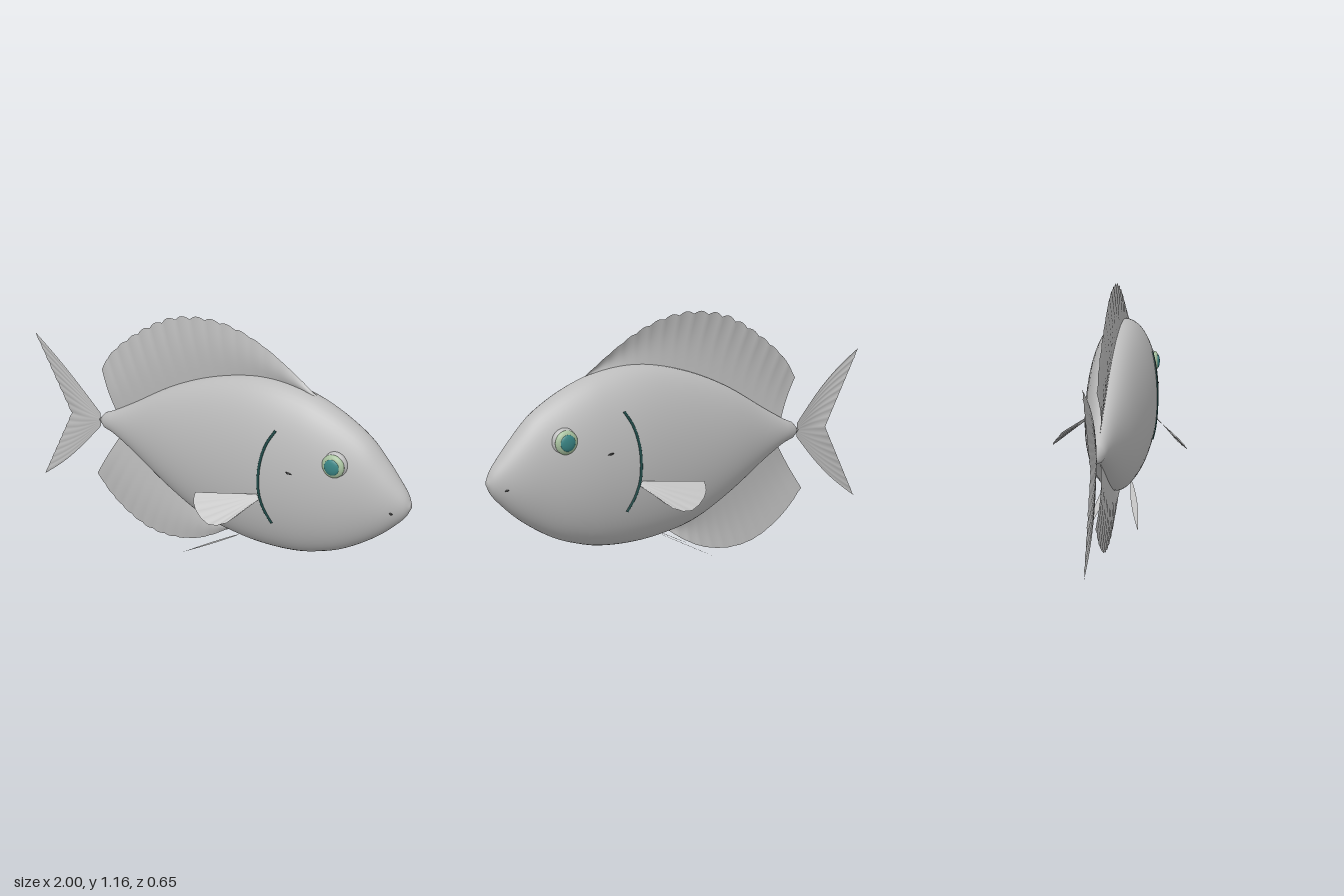
import * as THREE from 'three';
import { mergeVertices } from 'three/addons/utils/BufferGeometryUtils.js';

const material = (name, color, side = THREE.FrontSide) =>
  Object.assign(new THREE.MeshStandardMaterial({ color, side }), { name });

// Body stations: x, top y, bottom y, half width
const STATIONS = [
  [-0.63, 0.565, 0.505, 0.022], [-0.55, 0.595, 0.49, 0.036], [-0.42, 0.665, 0.42, 0.062],
  [-0.2, 0.795, 0.28, 0.11], [0, 0.88, 0.18, 0.14], [0.2, 0.93, 0.138, 0.16],
  [0.35, 0.938, 0.13, 0.167], [0.5, 0.915, 0.143, 0.162], [0.6, 0.88, 0.17, 0.152],
  [0.7, 0.83, 0.21, 0.134], [0.8, 0.762, 0.272, 0.11], [0.88, 0.677, 0.335, 0.085],
  [0.94, 0.605, 0.395, 0.06], [0.98, 0.552, 0.443, 0.036], [1, 0.51, 0.485, 0.012],
];

// Smooth (Hermite) lookup of the body outline at x: [top, bottom, halfWidth]
function outline(x) {
  const S = STATIONS, last = S.length - 1;
  let i = 0;
  while (i < last - 1 && x > S[i + 1][0]) i++;
  const h = S[i + 1][0] - S[i][0], t = (x - S[i][0]) / h;
  const slope = (k, c) => {
    const a = S[Math.max(k - 1, 0)], b = S[Math.min(k + 1, last)];
    return (b[c] - a[c]) / (b[0] - a[0]);
  };
  return [1, 2, 3].map((c) =>
    (2 * t ** 3 - 3 * t * t + 1) * S[i][c] + (t ** 3 - 2 * t * t + t) * h * slope(i, c) +
    (3 * t * t - 2 * t ** 3) * S[i + 1][c] + (t ** 3 - t * t) * h * slope(i + 1, c));
}

// Half width of the body at a given x and y
function surfaceZ(x, y) {
  const [top, bottom, width] = outline(x);
  const k = (y - (top + bottom) / 2) / ((top - bottom) / 2);
  return width * Math.sqrt(Math.max(0, 1 - k * k));
}

// Surface from a rule point(u, v) => [x, y, z]
function grid(point, nu, nv) {
  const positions = [], index = [];
  for (let i = 0; i <= nu; i++)
    for (let j = 0; j <= nv; j++) positions.push(...point(i / nu, j / nv));
  for (let i = 0; i < nu; i++)
    for (let j = 0; j < nv; j++) {
      const a = i * (nv + 1) + j, b = a + nv + 1;
      index.push(a, a + 1, b, a + 1, b + 1, b);
    }
  let geometry = new THREE.BufferGeometry();
  geometry.setAttribute('position', new THREE.Float32BufferAttribute(positions, 3));
  geometry.setIndex(index);
  geometry = mergeVertices(geometry, 1e-5);
  geometry.computeVertexNormals();
  return geometry;
}

const spline = (points) => new THREE.CatmullRomCurve3(points.map((p) => new THREE.Vector3(p[0], p[1], p[2] || 0)));

// Upright fin between a base rule and a tip rule, with rays and a scalloped edge
function medianFin(base, tip, rays, scallop, bulge = 0) {
  return grid((u, v) => {
    const b = base(u), t = tip(u);
    const ray = Math.abs(Math.sin(u * rays * Math.PI));
    const s = v * (1 - scallop * (1 - ray) * Math.sin(Math.PI * u));
    return [
      b.x + (t.x - b.x) * s,
      b.y + (t.y - b.y) * s + bulge * (1 - 2 * u) * Math.sin(Math.PI * v),
      0.01 * Math.sin(Math.PI * v) + 0.003 * (ray - 0.5) * v,
    ];
  }, rays * 6, 10);
}

export function createModel() {
  const fish = new THREE.Group();
  fish.name = 'fish';
  const skin = material('skinGrey', 0xbcbcbc);
  const finGrey = material('finGrey', 0xbcbcbc, THREE.DoubleSide);
  const iris = material('irisGreen', 0xa9c2a0);
  const teal = material('pupilTeal', 0x3a8585);
  const gill = material('gillTeal', 0x1f4a48);
  const dark = material('nostrilDark', 0x333333);
  const add = (name, geometry, mat) => {
    const mesh = new THREE.Mesh(geometry, mat);
    mesh.name = name;
    fish.add(mesh);
    return mesh;
  };

  // Body: elliptical sections, closed at both ends
  add('body', grid((u, v) => {
    const x = -0.63 + 1.63 * (1 - (1 - u) ** 2);
    const [top, bottom, width] = outline(x);
    const k = u === 0 || u === 1 ? 0 : 1, a = v * Math.PI * 2;
    return [x, (top + bottom) / 2 + k * Math.cos(a) * (top - bottom) / 2, k * width * Math.sin(a)];
  }, 72, 56), skin);

  // Dorsal fin
  const dorsalTip = spline([[0.54, 0.905], [0.4, 1.005], [0.3, 1.068], [0.2, 1.115], [0.1, 1.145], [0, 1.157],
    [-0.1, 1.15], [-0.2, 1.128], [-0.3, 1.08], [-0.4, 1.015], [-0.5, 0.935], [-0.56, 0.87], [-0.6, 0.8]]);
  add('dorsalFin', medianFin((u) => {
    const x = 0.53 - 1.05 * u;
    return { x, y: outline(x)[0] - 0.012 };
  }, (u) => dorsalTip.getPointAt(u), 17, 0.05), finGrey);

  // Anal fin
  const analTip = spline([[0.12, 0.145], [0.05, 0.095], [-0.05, 0.04], [-0.15, 0.01], [-0.25, 0], [-0.36, 0.015],
    [-0.47, 0.065], [-0.57, 0.14], [-0.655, 0.235]]);
  add('analFin', medianFin((u) => {
    const x = 0.11 - 0.61 * u;
    return { x, y: outline(x)[1] + 0.012 };
  }, (u) => analTip.getPointAt(u), 13, 0.015), finGrey);

  // Forked tail fin
  add('tailFin', medianFin(
    (u) => ({ x: -0.62, y: 0.57 - 0.07 * u }),
    (u) => ({ x: -0.8 - 0.2 * Math.abs(1 - 2 * u), y: 0.53 + 0.385 * (1 - 2 * u) }),
    16, 0.01, 0.025), finGrey);

  for (const side of [1, -1]) {
    const label = side > 0 ? 'left' : 'right';

    // Pectoral fin: fan from a short root to a rounded edge
    const edge = spline([[0.09, 0.437, 0.258], [0.1, 0.4, 0.288], [0.15, 0.358, 0.318], [0.21, 0.335, 0.325],
      [0.27, 0.348, 0.298], [0.32, 0.392, 0.235]]);
    add(label + 'PectoralFin', grid((u, v) => {
      const t = edge.getPointAt(u);
      const root = [0.36 + 0.01 * u, 0.455 - 0.015 * u, 0.158];
      const ripple = 0.003 * Math.abs(Math.sin(u * 8 * Math.PI)) * v;
      return [root[0] + (t.x - root[0]) * v, root[1] + (t.y - root[1]) * v + ripple,
        side * (root[2] + (t.z - root[2]) * v)];
    }, 40, 6), finGrey);

    // Pelvic fin: narrow pointed blade
    add(label + 'PelvicFin', grid((u, v) => {
      const width = 0.03 * Math.sin(Math.PI * Math.min(1, 0.12 + 0.88 * u));
      return [0.2 - 0.27 * u, 0.158 - 0.146 * u, side * (0.058 + 0.058 * u + (v - 0.5) * width)];
    }, 14, 2), finGrey);

    // Gill slit following the flank
    const slit = spline([[0.42, 0.765], [0.385, 0.7], [0.363, 0.62], [0.356, 0.54], [0.36, 0.46], [0.38, 0.39],
      [0.415, 0.32]].map(([x, y]) => [x, y, side * surfaceZ(x, y)]));
    add(label + 'GillSlit', new THREE.TubeGeometry(slit, 40, 0.006, 8), gill);

    // Eye: flattened layers of white, iris and pupil
    const eyeLayers = [['EyeRim', 0.058, 0.06, 0.03, 0.107, skin],
      ['Iris', 0.051, 0.052, 0.021, 0.126, iris], ['Pupil', 0.034, 0.036, 0.012, 0.14, teal]];
    for (const [name, rx, ry, rz, z, mat] of eyeLayers) {
      const layer = add(label + name, new THREE.SphereGeometry(1, 32, 20), mat);
      layer.scale.set(rx, ry, rz);
      layer.position.set(0.69, 0.66, side * z);
    }

    // Nostril and small cheek mark
    for (const [name, x, y, rx, ry] of [['Nostril', 0.935, 0.473, 0.008, 0.005], ['CheekMark', 0.5, 0.592, 0.014, 0.004]]) {
      const spot = add(label + name, new THREE.SphereGeometry(1, 12, 8), dark);
      spot.scale.set(rx, ry, 0.004);
      spot.position.set(x, y, side * surfaceZ(x, y));
      spot.rotation.set(0, side * (x > 0.9 ? 0.5 : 0.08), -0.2);
    }
  }
  return fish;
}
